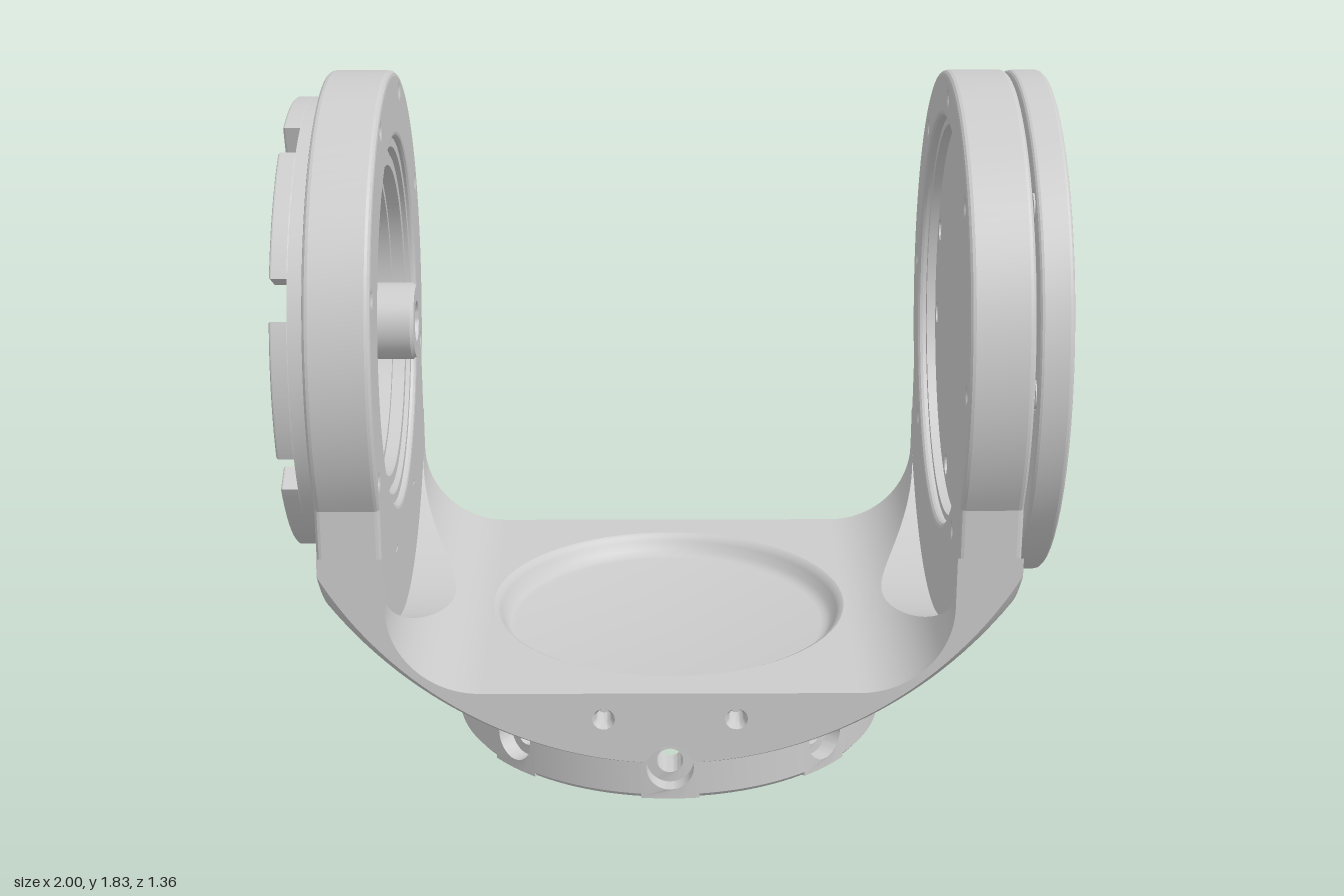
import * as THREE from 'three';
import { toCreasedNormals } from 'three/addons/utils/BufferGeometryUtils.js';

const AXIS = 1.145, D = 0.6, X0 = 0.74, X1 = 0.91, FLOOR = 0.31, FIL = 0.24;
const mat = new THREE.MeshStandardMaterial({ color: 0xcccccc, side: THREE.DoubleSide });
const TAU = Math.PI * 2;

function add(parent, name, geo, y = 0) {
  const m = new THREE.Mesh(geo, mat);
  m.name = name;
  m.position.y = y;
  parent.add(m);
  return m;
}
const vecs = pts => pts.map(p => new THREE.Vector2(...p));
const circle = (r, x = 0, y = 0) => new THREE.Path().absarc(x, y, r, 0, TAU, true);
const polar = (r, a) => [r * Math.sin(a), r * Math.cos(a)];
const around = (n, R, r, off = 0) => Array.from({ length: n }, (_, k) => circle(r, ...polar(R, off + k * TAU / n)));
function disc(r, holes = []) {
  const s = new THREE.Shape().absarc(0, 0, r, 0, TAU, false);
  s.holes.push(...holes);
  return s;
}
// Extrude a side-view shape along x from x0 over the given thickness
function extrudeX(shape, x0, t, b = 0) {
  const g = new THREE.ExtrudeGeometry(shape, {
    depth: t - 2 * b, curveSegments: 32, bevelEnabled: b > 0,
    bevelSize: b, bevelThickness: b, bevelOffset: -b, bevelSegments: 3,
  });
  return toCreasedNormals(g.rotateY(Math.PI / 2).translate(x0 + b, 0, 0), 0.24);
}
const lathe = (pts, seg = 72, ...arc) =>
  toCreasedNormals(new THREE.LatheGeometry(vecs(pts), seg, ...arc), 0.6);
const latheX = (pts, seg) => lathe(pts, seg).rotateZ(-Math.PI / 2);
// Surface from a rule (column, row) -> point
function sheet(nu, nv, fn) {
  const g = new THREE.PlaneGeometry(1, 1, nu, nv), p = g.attributes.position;
  for (let j = 0, k = 0; j <= nv; j++) for (let i = 0; i <= nu; i++, k++) p.setXYZ(k, ...fn(i, j));
  return toCreasedNormals(g, 0.4);
}

// Spherical underside, lifted where the eight base screws need clearance
function under(x, z) {
  const r = Math.hypot(x, z), a = Math.atan2(x, z), q = Math.PI / 4;
  const s = r * Math.sin(a - Math.round(a / q) * q);
  const y = AXIS - Math.sqrt(1.44 - r * r);
  return Math.abs(s) < 0.065 ? Math.max(y, 0.09 + Math.sqrt(0.065 ** 2 - s * s)) : y;
}

// Upper cross-section of one side: fillet up to the round clearance cut,
// shelf along the cut, inner wall, arm root, outer wall
const NF = 16;
function sidePoint(i, z) {
  const cut = Math.min(FLOOR + FIL, AXIS - Math.sqrt(0.81 ** 2 - z * z));
  const end = Math.acos(1 - (cut - FLOOR) / FIL);
  if (i <= NF) {
    const a = end * i / NF;
    return [X0 - FIL + FIL * Math.sin(a), FLOOR + FIL * (1 - Math.cos(a))];
  }
  const root = Math.max(0.57, under(X1, z) + 0.05);
  return [[X0, cut], [X0, root], [X1, root], [X1, under(X1, z)]][i - NF - 1];
}

function buildBody(g) {
  const body = new THREE.Group();
  body.name = 'yokeBody';
  g.add(body);

  // Underside, from the base circle out to the rectangular outline
  const rim = [], NL = 120, NS = 60;
  for (let i = 0; i < NL; i++) rim.push([-X1 + 2 * X1 * i / NL, D]);
  for (let i = 0; i < NS; i++) rim.push([X1, D - 2 * D * i / NS]);
  for (let i = 0; i < NL; i++) rim.push([X1 - 2 * X1 * i / NL, -D]);
  for (let i = 0; i <= NS; i++) rim.push([-X1, -D + 2 * D * i / NS]);
  add(body, 'underside', sheet(rim.length - 1, 16, (i, j) => {
    const [x, z] = rim[i], R = Math.hypot(x, z), r = 0.59 + (R - 0.59) * j / 16;
    return [x * r / R, under(x * r / R, z * r / R), z * r / R];
  }));

  for (const s of [1, -1]) {
    add(body, 'armRoot', sheet(NF + 4, 60, (i, j) => {
      const z = -D + 2 * D * j / 60, [x, y] = sidePoint(i, z);
      return [s * x, y, z];
    }));
    // Flat front and back faces with two small screw holes
    const pts = [];
    for (let i = 0; i <= NL; i++) {
      const x = -X1 + 2 * X1 * i / NL;
      pts.push([x, under(x, D)]);
    }
    for (let i = NF + 3; i >= 0; i--) pts.push(sidePoint(i, D));
    for (let i = 0; i <= NF + 3; i++) {
      const [x, y] = sidePoint(i, D);
      pts.push([-x, y]);
    }
    const face = new THREE.Shape(vecs(pts));
    for (const x of [-0.175, 0.175]) {
      face.holes.push(circle(0.03, x, 0.235));
      const pit = add(body, 'faceHole', lathe([[0, -0.08], [0.02, -0.08], [0.02, -0.02], [0.03, 0]], 20), 0.235);
      pit.rotation.x = s * Math.PI / 2;
      pit.position.x = x;
      pit.position.z = s * D;
    }
    const f = add(body, 'endFace', new THREE.ShapeGeometry(face, 16));
    if (s < 0) f.rotation.y = Math.PI;
    f.position.z = s * D;
  }

  // Floor between the arms with its round dish
  const w = X0 - FIL;
  const floor = new THREE.Shape(vecs([[-w, -D], [w, -D], [w, D], [-w, D]]));
  floor.holes.push(circle(0.497));
  add(body, 'floor', new THREE.ShapeGeometry(floor, 36).rotateX(-Math.PI / 2), FLOOR);
  add(body, 'floorDish', lathe([[0, 0.25], [0.435, 0.25], [0.45, 0.253], [0.465, 0.267], [0.477, 0.29], [0.486, 0.304], [0.497, FLOOR]]));
  add(body, 'baseCeiling', new THREE.CylinderGeometry(0.5, 0.5, 0.04, 64), 0.22);
}

// Base wall: drilled panels at the eight screws, plain arcs between them
function buildBase(g) {
  const base = new THREE.Group();
  base.name = 'baseRing';
  g.add(base);
  const half = 0.13, H = 0.2, w = 0.6 * Math.sin(half);
  for (let k = 0; k < 8; k++) {
    const a = k * Math.PI / 4;
    // Inner boss, through hole, counterbore
    for (const [r0, r1, hole, y0, y1] of [[0.46, 0.5, 0.035, 0.035, 0.15], [0.5, 0.555, 0.035, 0, H], [0.555, 0.6, 0.063, 0, H]]) {
      const s = new THREE.Shape(vecs([[-w, y0], [-w / 2, y0], [0, y0], [w / 2, y0], [w, y0], [w, y1], [w / 2, y1], [0, y1], [-w / 2, y1], [-w, y1]]));
      s.holes.push(circle(hole, 0, 0.09));
      const geo = new THREE.ExtrudeGeometry(s, { depth: r1 - r0, bevelEnabled: false, curveSegments: 24 }).translate(0, 0, r0);
      // Curve the panel round the y axis, keeping the hole straight
      const p = geo.attributes.position;
      for (let i = 0; i < p.count; i++) p.setZ(i, Math.sqrt(p.getZ(i) ** 2 - p.getX(i) ** 2));
      add(base, 'screwPanel', toCreasedNormals(geo.rotateY(a), 0.5));
    }
    add(base, 'wallArc', lathe([[0.5, 0], [0.59, 0], [0.6, 0.012], [0.6, H], [0.5, H], [0.5, 0]], 10, a + half, Math.PI / 4 - 2 * half));
  }
}

// Round arm head with a neck that follows the underside
function armShape(bore, holes) {
  const s = new THREE.Shape(), a = Math.asin(D / 0.68);
  s.absarc(0, 0, 0.68, -Math.PI / 2 + a, Math.PI * 1.5 - a, false);
  for (let i = 0; i <= 24; i++) {
    const z = -D + 2 * D * i / 24;
    s.lineTo(z, under(X1, z) - AXIS + 0.01);
  }
  s.holes.push(circle(bore), ...holes);
  return s;
}

// Closed arm on the left with its bolted cap
function buildCapSide(g) {
  const bolts = [];
  for (let k = 0; k < 4; k++) for (const d of [-0.26, 0.26]) bolts.push(polar(0.487, k * Math.PI / 2 + d));
  const boltHoles = r => bolts.map(p => circle(r, ...p));
  add(g, 'leftArm', extrudeX(armShape(0.555, around(8, 0.62, 0.015)), X0, 0.165, 0.015), AXIS);
  add(g, 'leftInnerRing', extrudeX(disc(0.56, [circle(0.535)]), 0.765, 0.14), AXIS);
  add(g, 'leftInnerPlate', extrudeX(disc(0.54, boltHoles(0.03)), 0.79, 0.09), AXIS);
  add(g, 'leftInnerDisc', extrudeX(disc(0.43), 0.785, 0.02), AXIS);
  add(g, 'capBacking', extrudeX(disc(0.6, [circle(0.35)]), 0.88, 0.034), AXIS);
  add(g, 'capRecess', latheX([[0, 0.905], [0.32, 0.905], [0.34, 0.91], [0.35, 0.93]]), AXIS);
  const holes = [circle(0.35), ...around(8, 0.615, 0.034), ...boltHoles(0.055)];
  add(g, 'cap', extrudeX(disc(0.68, holes), 0.912, 0.088, 0.012), AXIS);
  // Slotted bolt heads and small screw sleeves
  const slot = new THREE.Path(vecs([[-0.012, -0.034], [-0.012, 0.034], [0.012, 0.034], [0.012, -0.034]]));
  const head = extrudeX(disc(0.044, [slot]), 0.91, 0.03);
  bolts.forEach(([z, y], i) => {
    const bolt = add(g, 'boltHead', head, AXIS + y);
    bolt.position.z = z;
    bolt.rotation.x = i * 0.8;
  });
  const sleeve = extrudeX(disc(0.036, [circle(0.022)]), 0.91, 0.03);
  for (let k = 0; k < 8; k++) {
    const [z, y] = polar(0.615, k * Math.PI / 4);
    add(g, 'screwSleeve', sleeve, AXIS + y).position.z = z;
  }
}

// Open arm on the right with bearing rings, notched flange, strut and hub
function buildBearingSide(g) {
  add(g, 'rightArm', extrudeX(armShape(0.5, around(8, 0.635, 0.012, Math.PI / 8)), -X1, 0.17, 0.015), AXIS);
  for (const [ro, ri, x] of [[0.515, 0.475, -0.755], [0.48, 0.45, -0.775], [0.455, 0.425, -0.765], [0.43, 0.405, -0.8]])
    add(g, 'bearingRing', extrudeX(disc(ro, [circle(ri)]), -0.93, x + 0.93), AXIS);
  add(g, 'flange', extrudeX(disc(0.61, [circle(0.44)]), -0.955, 0.05), AXIS);
  for (let k = 0; k < 8; k++) {
    const a = k * Math.PI / 4, h = 0.305, s = new THREE.Shape();
    s.absarc(0, 0, 0.61, a - h, a + h, false).absarc(0, 0, 0.53, a + h, a - h, true);
    add(g, 'flangeTab', extrudeX(s, -1, 0.05, 0.006), AXIS);
  }
  // Waisted vertical strut
  const side = [[0.06, -0.5], [0.13, -0.42], [0.08, -0.24], [0.125, 0], [0.08, 0.24], [0.13, 0.42], [0.06, 0.5]];
  const outline = [...side, ...side.map(([x, y]) => [-x, -y])].map(p => new THREE.Vector3(...p, 0));
  const curve = new THREE.CatmullRomCurve3(outline, true);
  const strut = new THREE.Shape(curve.getPoints(96).slice(0, -1).map(p => new THREE.Vector2(p.x, p.y)));
  strut.holes.push(circle(0.045), ...[-0.42, -0.22, 0.22, 0.42].map(y => circle(0.02, 0, y)));
  add(g, 'strut', extrudeX(strut, -0.985, 0.04), AXIS);
  add(g, 'hub', latheX([[0.05, -0.95], [0.105, -0.95], [0.105, -0.7], [0.097, -0.69], [0.055, -0.69], [0.05, -0.7], [0.05, -0.95]], 40), AXIS);
}

export function createModel() {
  const g = new THREE.Group();
  g.name = 'yoke';
  buildBody(g);
  buildBase(g);
  buildCapSide(g);
  buildBearingSide(g);
  return g;
}
